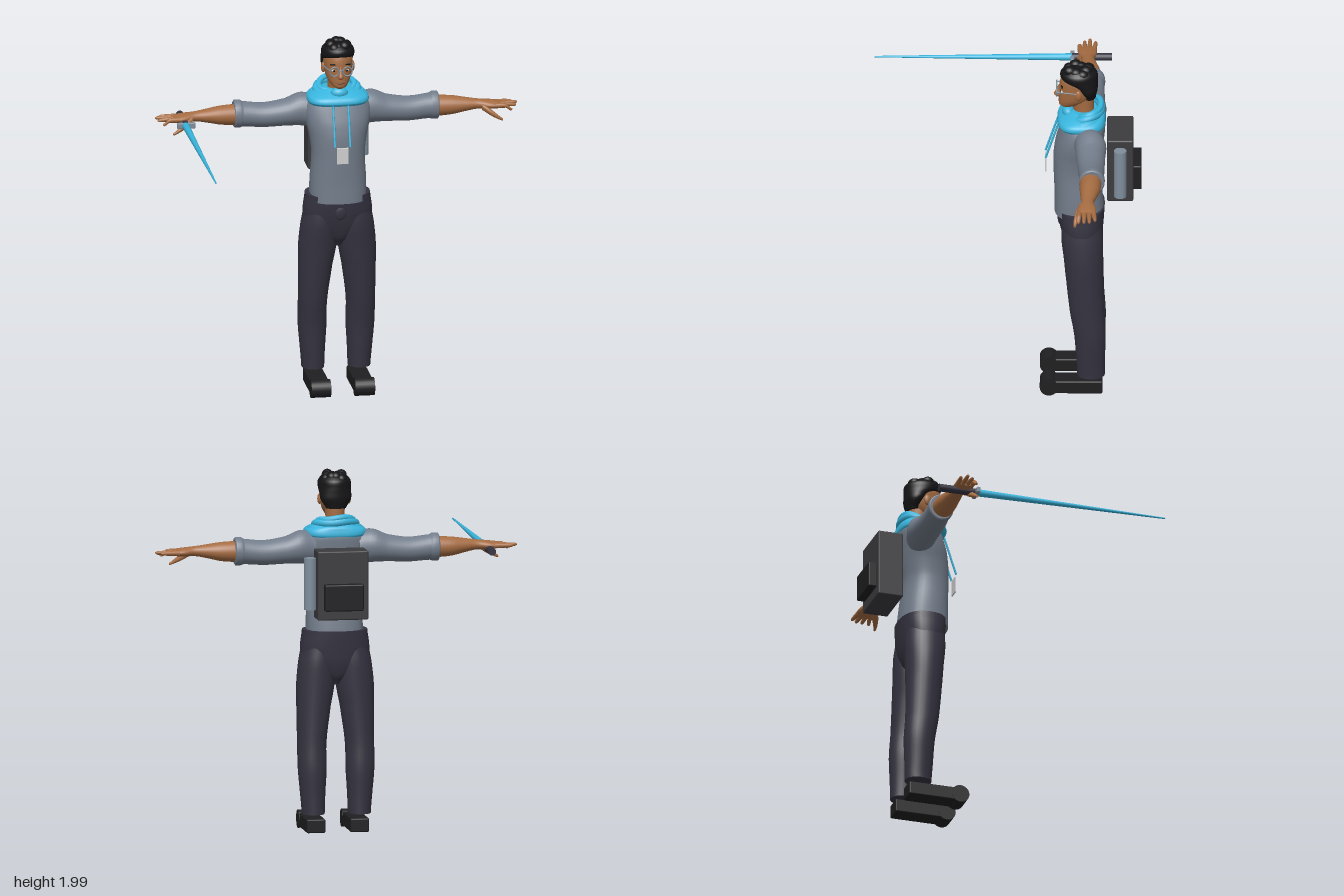
import * as THREE from 'three';
import { mergeVertices } from 'three/addons/utils/BufferGeometryUtils.js';
import { RoundedBoxGeometry } from 'three/addons/geometries/RoundedBoxGeometry.js';

const mat = (name, color) => Object.assign(new THREE.MeshStandardMaterial({ color }), { name });
const V = (x, y, z) => new THREE.Vector3(x, y, z);

// Smooth closed body through rings [t, u, v, ru, rv, squareness]; u,v are (x,z) for axis y, (z,y) for axis x
function loft(axis, rings, sides = 28, steps = 4) {
  const full = rings.map((r) => [...r, 2].slice(0, 6));
  const rows = [];
  const cr = (a, b, c, d, k) => 0.5 * (2 * b + (c - a) * k + (2 * a - 5 * b + 4 * c - d) * k * k + (3 * b - a - 3 * c + d) * k ** 3);
  for (let i = 0; i < full.length - 1; i++) {
    const [p, q, r, s] = [i - 1, i, i + 1, i + 2].map((n) => full[THREE.MathUtils.clamp(n, 0, full.length - 1)]);
    for (let n = 0; n < steps; n++) {
      rows.push(q.map((_, k) => (k === 0 ? q[0] + (r[0] - q[0]) * n / steps : cr(p[k], q[k], r[k], s[k], n / steps))));
    }
  }
  rows.push(full[full.length - 1]);
  const pos = [], idx = [];
  const put = (t, u, v) => (axis === 'y' ? pos.push(u, t, v) : pos.push(t, v, u));
  const ring = ([t, u, v, ru, rv, e]) => {
    for (let j = 0; j < sides; j++) {
      const a = (j / sides) * Math.PI * 2, c = Math.cos(a), s = Math.sin(a);
      put(t, u + ru * Math.sign(c) * Math.abs(c) ** (2 / e), v + rv * Math.sign(s) * Math.abs(s) ** (2 / e));
    }
  };
  rows.forEach(ring);
  for (let i = 0; i < rows.length - 1; i++) {
    for (let j = 0; j < sides; j++) {
      const a = i * sides + j, b = i * sides + (j + 1) % sides;
      idx.push(a, a + sides, b, b, a + sides, b + sides);
    }
  }
  // end caps
  [rows[0], rows[rows.length - 1]].forEach((row, end) => {
    const base = pos.length / 3;
    ring(row);
    put(row[0], row[1], row[2]);
    for (let j = 0; j < sides; j++) {
      const a = base + j, b = base + (j + 1) % sides;
      idx.push(base + sides, end ? b : a, end ? a : b);
    }
  });
  const g = new THREE.BufferGeometry();
  g.setAttribute('position', new THREE.Float32BufferAttribute(pos, 3));
  g.setIndex(idx);
  g.computeVertexNormals();
  return g;
}

function mirrored(geo) {
  const g = geo.clone().scale(-1, 1, 1), i = g.index.array;
  for (let n = 0; n < i.length; n += 3) [i[n], i[n + 1]] = [i[n + 1], i[n]];
  return g;
}

const rod = (a, b, r) => new THREE.TubeGeometry(new THREE.LineCurve3(a, b), 1, r, 8);
const ball = (x, y, z, a, b, c) => new THREE.SphereGeometry(1, 20, 14).scale(a, b, c).translate(x, y, z);
const box = (w, h, d, x, y, z, r = 0.008) => mergeVertices(new RoundedBoxGeometry(w, h, d, 2, r)).translate(x, y, z);

export function createModel() {
  const model = new THREE.Group();
  model.name = 'traveller';
  const shirt = mat('greyShirt', 0x737d8b), trousers = mat('darkTrousers', 0x353340), skin = mat('skin', 0xa56c42);
  const cyan = mat('cyan', 0x38b4dc), hair = mat('blackHair', 0x151517), shoe = mat('blackLeather', 0x1f1f21);
  const canvas = mat('packCanvas', 0x3c3c3f), metal = mat('greyMetal', 0x7f8e9c), white = mat('white', 0xcfcfd0);
  const lip = mat('lips', 0x7a4431);

  const add = (name, geo, material) => {
    const m = new THREE.Mesh(geo, material);
    m.name = name;
    model.add(m);
  };
  const pair = (name, geo, material) => {
    add(name + 'Left', geo, material);
    add(name + 'Right', mirrored(geo), material);
  };

  // Torso and sleeves
  add('shirtBody', loft('y', [
    [1.085, 0, -0.39, 0.155, 0.135, 2.4], [1.2, 0, -0.385, 0.154, 0.13, 2.3], [1.35, 0, -0.375, 0.146, 0.125, 2.2],
    [1.45, 0, -0.383, 0.158, 0.132, 2.2], [1.53, 0, -0.395, 0.176, 0.13, 2.3], [1.6, 0, -0.41, 0.182, 0.122, 2.4],
    [1.655, 0, -0.42, 0.16, 0.11, 2.4], [1.69, 0, -0.42, 0.09, 0.07]], 36), shirt);
  pair('sleeve', loft('x', [
    [0.12, -0.44, 1.575, 0.08, 0.09], [0.2, -0.452, 1.582, 0.086, 0.092], [0.28, -0.453, 1.567, 0.08, 0.075],
    [0.4, -0.456, 1.556, 0.073, 0.068], [0.515, -0.459, 1.565, 0.068, 0.07], [0.53, -0.46, 1.567, 0.071, 0.077],
    [0.56, -0.46, 1.567, 0.07, 0.077], [0.565, -0.46, 1.567, 0.064, 0.07]]), shirt);

  // Forearms and open hands
  pair('forearm', loft('x', [
    [0.54, -0.453, 1.565, 0.06, 0.058], [0.64, -0.45, 1.566, 0.056, 0.052], [0.72, -0.442, 1.569, 0.044, 0.037],
    [0.785, -0.436, 1.57, 0.035, 0.027], [0.84, -0.434, 1.566, 0.05, 0.025], [0.885, -0.432, 1.565, 0.05, 0.02],
    [0.905, -0.432, 1.565, 0.04, 0.014]]), skin);
  [[-0.393, 0.965, -0.388, 1.545], [-0.419, 0.99, -0.418, 1.56], [-0.445, 1, -0.447, 1.567], [-0.47, 0.975, -0.478, 1.565]]
    .forEach(([z, tip, zTip, yTip], i) => pair('finger' + (i + 1), loft('x', [
      [0.87, z, 1.565, 0.014, 0.015], [0.93, (z + zTip) / 2, 1.565, 0.0125, 0.0125],
      [tip - 0.01, zTip, yTip, 0.009, 0.009], [tip, zTip, yTip, 0.004, 0.004]], 10, 3), skin));
  pair('thumb', loft('x', [
    [0.8, -0.405, 1.56, 0.018, 0.02], [0.84, -0.388, 1.535, 0.019, 0.019], [0.88, -0.374, 1.51, 0.013, 0.013],
    [0.91, -0.368, 1.493, 0.007, 0.007]], 12), skin);

  // Trousers
  add('trouserHips', loft('y', [
    [0.82, 0, -0.412, 0.03, 0.055], [0.87, 0, -0.41, 0.1, 0.088], [0.94, 0, -0.407, 0.18, 0.109, 2.2],
    [1.02, 0, -0.402, 0.19, 0.122, 2.4], [1.12, 0, -0.4, 0.178, 0.13, 2.4]], 36), trousers);
  pair('trouserLeg', loft('y', [
    [0.11, 0.1275, -0.455, 0.0625, 0.075], [0.22, 0.13, -0.452, 0.069, 0.079], [0.36, 0.132, -0.449, 0.079, 0.086],
    [0.5, 0.132, -0.433, 0.08, 0.093], [0.7, 0.12, -0.42, 0.094, 0.101], [0.83, 0.108, -0.413, 0.105, 0.107],
    [0.95, 0.1, -0.406, 0.1, 0.113], [1.06, 0.09, -0.402, 0.09, 0.105]]), trousers);
  add('fly', ball(0, 1.03, -0.284, 0.033, 0.042, 0.012), trousers);

  // Shoes: flat block with a rounded toe
  pair('shoe', box(0.104, 0.076, 0.29, 0.121, 0.048, -0.373), shoe);
  pair('shoeToe', new THREE.CylinderGeometry(0.05, 0.05, 0.108, 24).rotateZ(Math.PI / 2).translate(0.121, 0.05, -0.225), shoe);

  // Head
  add('neck', loft('y', [[1.62, 0, -0.425, 0.058, 0.058], [1.7, 0, -0.415, 0.052, 0.056], [1.79, 0, -0.41, 0.054, 0.06]]), skin);
  add('head', loft('y', [
    [1.733, 0, -0.327, 0.024, 0.034], [1.745, 0, -0.335, 0.042, 0.055], [1.775, 0, -0.36, 0.062, 0.081],
    [1.81, 0, -0.377, 0.073, 0.097], [1.85, 0, -0.385, 0.079, 0.103], [1.9, 0, -0.388, 0.081, 0.1],
    [1.95, 0, -0.39, 0.068, 0.08], [1.97, 0, -0.39, 0.04, 0.05]], 32), skin);
  add('nose', loft('y', [
    [1.792, 0, -0.283, 0.012, 0.014], [1.803, 0, -0.276, 0.019, 0.024], [1.83, 0, -0.281, 0.011, 0.018],
    [1.86, 0, -0.288, 0.009, 0.012]], 14), skin);
  pair('ear', ball(0.081, 1.835, -0.385, 0.012, 0.03, 0.019), skin);
  add('mouth', ball(0, 1.768, -0.283, 0.024, 0.006, 0.007), lip);
  pair('eye', ball(0.035, 1.838, -0.296, 0.014, 0.006, 0.008), white);
  pair('pupil', ball(0.035, 1.838, -0.289, 0.006, 0.006, 0.004), hair);
  pair('eyebrow', box(0.04, 0.008, 0.012, 0.037, 1.872, -0.296, 0.003), hair);

  // Hair cap with loose tufts on top
  add('hair', loft('y', [
    [1.79, 0, -0.445, 0.055, 0.036], [1.84, 0, -0.437, 0.084, 0.054], [1.875, 0, -0.42, 0.088, 0.072],
    [1.905, 0, -0.394, 0.091, 0.098], [1.94, 0, -0.388, 0.088, 0.101], [1.965, 0, -0.388, 0.066, 0.074],
    [1.975, 0, -0.388, 0.035, 0.04]], 32), hair);
  for (let i = 0; i < 10; i++) {
    const a = i * Math.PI / 5 + 0.3, reach = 0.8 + 0.2 * Math.sin(i * 2.3);
    add('hairTuft', ball(0.052 * reach * Math.cos(a), 1.956 + 0.008 * Math.sin(i * 1.9), -0.388 + 0.066 * reach * Math.sin(a), 0.03, 0.028, 0.034), hair);
  }

  // Round glasses
  pair('glassesRim', new THREE.TorusGeometry(0.025, 0.004, 8, 28).translate(0.036, 1.838, -0.268), metal);
  add('glassesBridge', rod(V(-0.012, 1.843, -0.266), V(0.012, 1.843, -0.266), 0.0035), metal);
  pair('glassesTemple', rod(V(0.06, 1.845, -0.27), V(0.088, 1.848, -0.385), 0.0035), metal);

  // Scarf: a draped base with wrapped folds, higher at the back
  add('scarfBase', loft('y', [
    [1.635, 0, -0.405, 0.16, 0.126, 2.8], [1.65, 0, -0.403, 0.17, 0.133, 2.9], [1.675, 0, -0.406, 0.165, 0.127, 2.8],
    [1.695, 0, -0.418, 0.135, 0.108, 2.4], [1.715, 0, -0.42, 0.085, 0.075]], 36), cyan);
  [[1.67, 0.012, 0.133, 0.1, -0.407, 0.025], [1.7, 0.022, 0.112, 0.085, -0.425, 0.022], [1.718, 0.026, 0.098, 0.072, -0.437, 0.017]]
    .forEach(([y, tilt, rx, rz, cz, r]) => {
      const loop = Array.from({ length: 16 }, (_, i) => {
        const a = i * Math.PI / 8;
        return V(rx * Math.cos(a), y - tilt * Math.sin(a) + 0.005 * Math.sin(3 * a + r * 100), cz + rz * Math.sin(a));
      });
      add('scarfFold', new THREE.TubeGeometry(new THREE.CatmullRomCurve3(loop, true), 64, r, 12, true), cyan);
    });
  add('scarfKnot', ball(0, 1.7, -0.33, 0.048, 0.032, 0.034), cyan);

  // Lanyard with badge
  pair('lanyardCord', rod(V(0.042, 1.64, -0.277), V(0.042, 1.425, -0.207), 0.006), cyan);
  add('badge', box(0.064, 0.092, 0.008, 0, 1.375, -0.208, 0.002), white);

  // Backpack with pocket and side bottle
  add('backpack', box(0.28, 0.38, 0.143, 0, 1.395, -0.614), canvas);
  add('backpackPocket', box(0.214, 0.147, 0.05, 0, 1.333, -0.706), shoe);
  add('bottle', new THREE.CylinderGeometry(0.034, 0.034, 0.285, 24).translate(0.171, 1.4, -0.614), metal);

  // Sword held forward in the right hand
  const along = (r1, r0, z0, z1) => new THREE.CylinderGeometry(r1, r0, z1 - z0, 16).rotateX(Math.PI / 2).translate(-0.845, 1.545, (z0 + z1) / 2);
  add('swordHandle', along(0.021, 0.021, -0.567, -0.35), trousers);
  add('swordGuard', box(0.1, 0.032, 0.022, -0.842, 1.545, -0.352, 0.005), metal);
  add('swordBlade', along(0.004, 0.02, -0.345, 0.73), cyan);
  return model;
}
